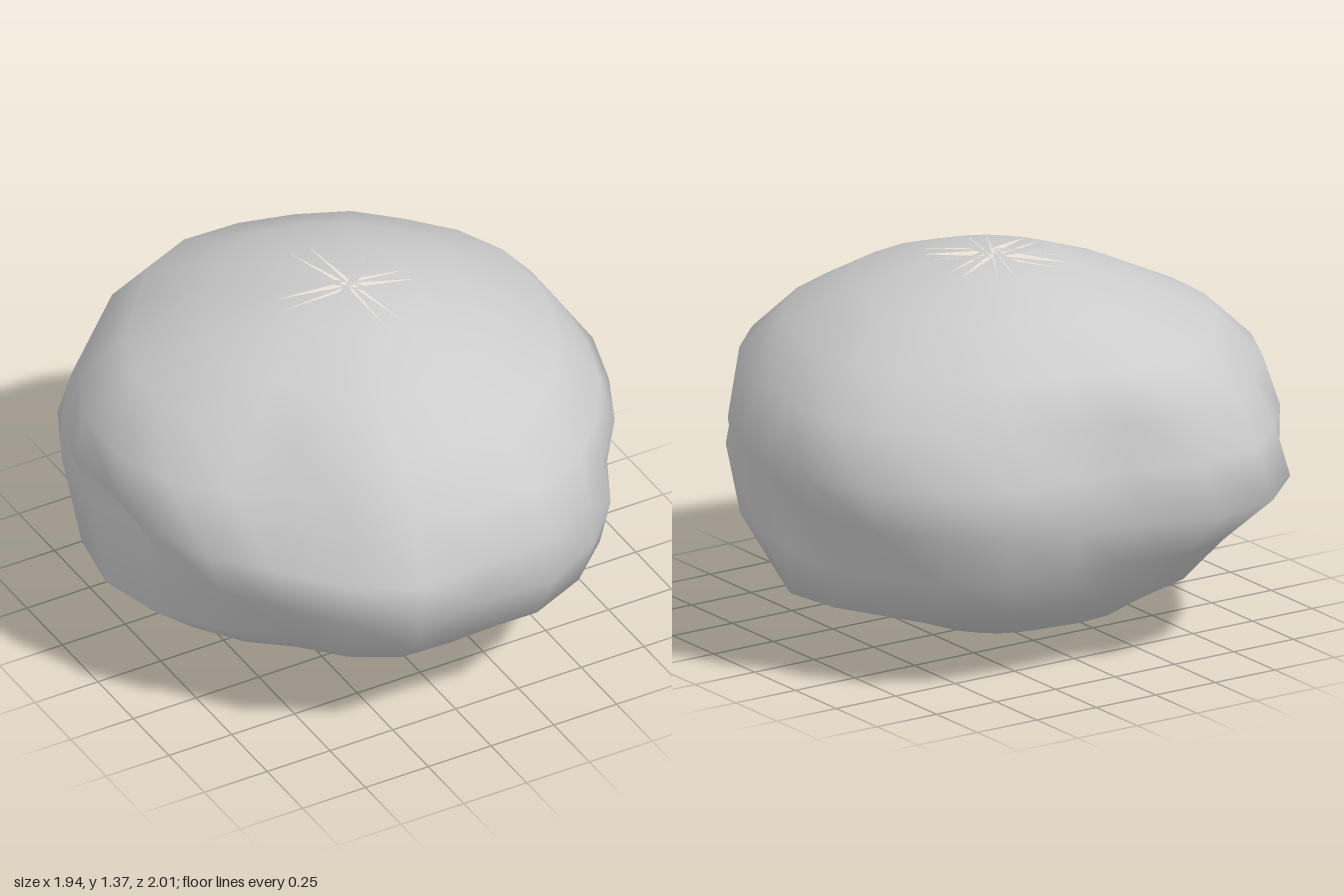
import * as THREE from 'three';
import { mergeVertices } from 'three/addons/utils/BufferGeometryUtils.js';

const SEGMENTS = 24, RINGS = 11;

// Ring heights from the top pole to the bottom pole
const HEIGHTS = [1.345, 1.325, 1.235, 1.115, 0.95, 0.77, 0.595, 0.42, 0.26, 0.135, 0.04, 0.02];

// Ring radii from top to bottom, one profile every 45 degrees from +x towards +z
const PROFILES = [
  [0.24, 0.48, 0.73, 0.85, 0.97, 0.83, 0.85, 0.85, 0.47, 0.25],
  [0.25, 0.50, 0.74, 0.90, 0.92, 0.95, 0.91, 0.70, 0.47, 0.24],
  [0.28, 0.55, 0.74, 0.92, 1.00, 0.99, 0.90, 0.72, 0.48, 0.28],
  [0.26, 0.49, 0.68, 0.74, 0.94, 0.91, 0.82, 0.67, 0.47, 0.25],
  [0.27, 0.51, 0.76, 0.93, 0.93, 0.82, 0.97, 0.78, 0.57, 0.24],
  [0.27, 0.52, 0.76, 0.90, 0.98, 1.03, 0.84, 0.71, 0.49, 0.25],
  [0.30, 0.55, 0.80, 0.89, 0.87, 0.95, 0.81, 0.69, 0.53, 0.26],
  [0.26, 0.50, 0.74, 0.89, 1.00, 0.96, 0.94, 0.79, 0.50, 0.25],
];

// Widest radius at each segment
const OUTLINE = [0.97, 0.93, 0.92, 0.94, 0.985, 1.01, 0.98, 1.04, 1.0, 0.94, 0.95, 0.96,
  0.97, 0.985, 1.0, 1.05, 1.08, 1.04, 0.91, 0.9, 0.935, 0.976, 1.0, 1.01];

// Blended profile for a segment, scaled towards the outline around the girth
function segmentProfile(s) {
  const k = Math.floor(s / 3), a = PROFILES[k], b = PROFILES[(k + 1) % 8];
  const mixed = a.map((r, i) => THREE.MathUtils.lerp(r, b[i], (s % 3) / 3));
  const scale = OUTLINE[s] / Math.max(...mixed);
  return mixed.map((r, i) => {
    const girth = Math.sin((i + 1) / RINGS * Math.PI) ** 2;
    return r * THREE.MathUtils.lerp(1, scale, girth);
  });
}

function rockGeometry() {
  const sphere = new THREE.SphereGeometry(1, SEGMENTS, RINGS);
  const columns = OUTLINE.map((_, s) => segmentProfile(s));
  const pos = sphere.attributes.position;
  for (let i = 0; i < pos.count; i++) {
    const ring = Math.floor(i / (SEGMENTS + 1));
    const s = (SEGMENTS * 1.5 - i % (SEGMENTS + 1)) % SEGMENTS;
    const angle = s / SEGMENTS * 2 * Math.PI;
    const pole = ring === 0 || ring === RINGS;
    const r = pole ? 0 : columns[s][ring - 1];
    // Small star-shaped pucker at each pole
    const pucker = pole ? 0.02 * Math.cos(5 * angle) : 0;
    pos.setXYZ(i, r * Math.cos(angle), HEIGHTS[ring] + pucker, r * Math.sin(angle));
  }
  // Weld the seam so the shading is smooth all round
  sphere.deleteAttribute('uv');
  sphere.deleteAttribute('normal');
  const welded = mergeVertices(sphere, 1e-4);
  welded.computeVertexNormals();
  return welded;
}

export function createModel() {
  const group = new THREE.Group();
  group.name = 'boulder';
  const stone = new THREE.MeshStandardMaterial({ color: 0xcccccc });
  stone.name = 'stone grey';
  const rock = new THREE.Mesh(rockGeometry(), stone);
  rock.name = 'rock';
  group.add(rock);
  return group;
}
